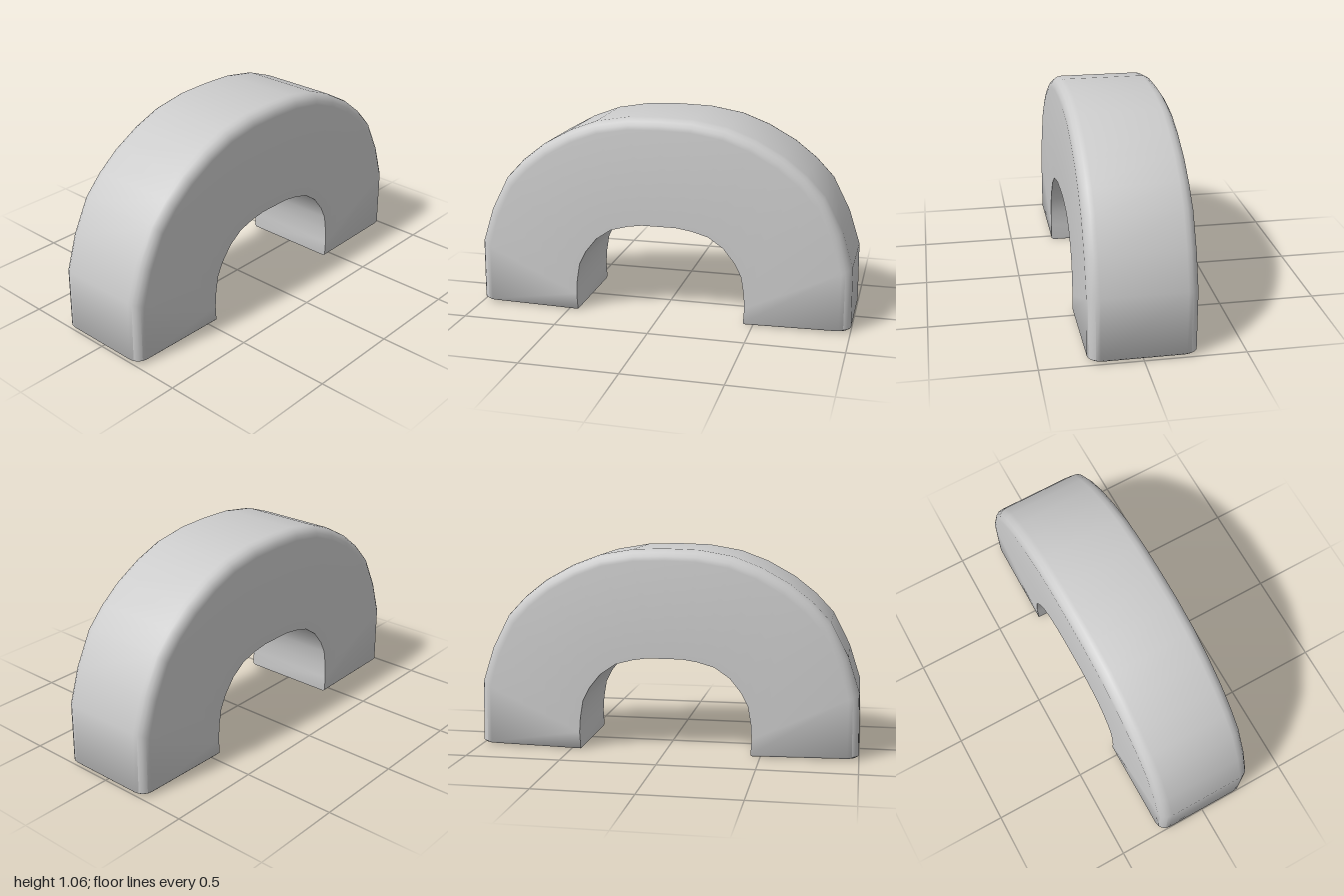
import * as THREE from 'three';
import { toCreasedNormals } from 'three/addons/utils/BufferGeometryUtils.js';

const HALF_DEPTH = 0.265, CORNER = 0.058, CORNER_STEPS = 4, BEVEL = 0.01;

// Half of the arch: [outer x, outer y, inner x, inner y], from foot to crown
const HALF_ARCH = [
  [1.0, 0.02, 0.45, 0.01],
  [0.995, 0.34, 0.455, 0.09],
  [0.935, 0.525, 0.45, 0.17],
  [0.845, 0.7, 0.435, 0.26],
  [0.75, 0.8, 0.4, 0.33],
  [0.635, 0.89, 0.34, 0.405],
  [0.49, 0.97, 0.26, 0.46],
  [0.345, 1.025, 0.17, 0.485],
  [0.17, 1.055, 0.09, 0.497],
  [0, 1.06, 0, 0.497],
];

// Cross-section: square corners inside, rounded corners outside
function section([ox, oy, ix, iy], inset = 0) {
  const outer = new THREE.Vector3(ox, oy, 0), inner = new THREE.Vector3(ix, iy, 0);
  const inward = inner.clone().sub(outer).normalize();
  const depth = HALF_DEPTH - inset;
  const half = [inner.clone().setZ(depth)];
  for (let k = 0; k <= CORNER_STEPS; k++) {
    const a = (k / CORNER_STEPS) * Math.PI / 2;
    const p = outer.clone().addScaledVector(inward, CORNER * (1 - Math.sin(a)));
    half.push(p.setZ(depth - CORNER * (1 - Math.cos(a))));
  }
  const back = half.map(p => p.clone().setZ(-p.z));
  return [...back, ...half.reverse()];
}

function archGeometry() {
  const mirrored = HALF_ARCH.slice(0, -1).reverse().map(([a, b, c, d]) => [-a, b, -c, d]);
  const rings = [...HALF_ARCH, ...mirrored].map(s => section(s));

  // Slightly inset rings form the bevel round each foot
  const foot = [1 - BEVEL, 0.01, 0.453, 0];
  rings.unshift(section(foot, BEVEL));
  rings.push(section([-foot[0], foot[1], -foot[2], foot[3]], BEVEL));

  const n = rings[0].length, positions = [], index = [];
  rings.forEach(r => r.forEach(p => positions.push(p.x, p.y, p.z)));
  for (let j = 0; j < rings.length - 1; j++) {
    for (let i = 0; i < n; i++) {
      const a = j * n + i, b = j * n + (i + 1) % n;
      index.push(a, a + n, b, b, a + n, b + n);
    }
  }

  // Flat soles
  [0, rings.length - 1].forEach((j, end) => {
    const c = rings[j].reduce((s, p) => s.add(p), new THREE.Vector3()).divideScalar(n);
    // keep the fan centre in the tilted plane of the sole
    const centre = positions.length / 3;
    positions.push(c.x, c.y, 0);
    for (let i = 0; i < n; i++) {
      const a = j * n + i, b = j * n + (i + 1) % n;
      if (end) index.push(centre, b, a);
      else index.push(centre, a, b);
    }
  });

  const g = new THREE.BufferGeometry();
  g.setAttribute('position', new THREE.Float32BufferAttribute(positions, 3));
  g.setIndex(index);
  return toCreasedNormals(g, 0.9);
}

export function createModel() {
  const group = new THREE.Group();
  group.name = 'archBlock';
  const arch = new THREE.Mesh(archGeometry(), new THREE.MeshStandardMaterial({ color: 0xcccccc }));
  arch.name = 'arch';
  group.add(arch);
  return group;
}
